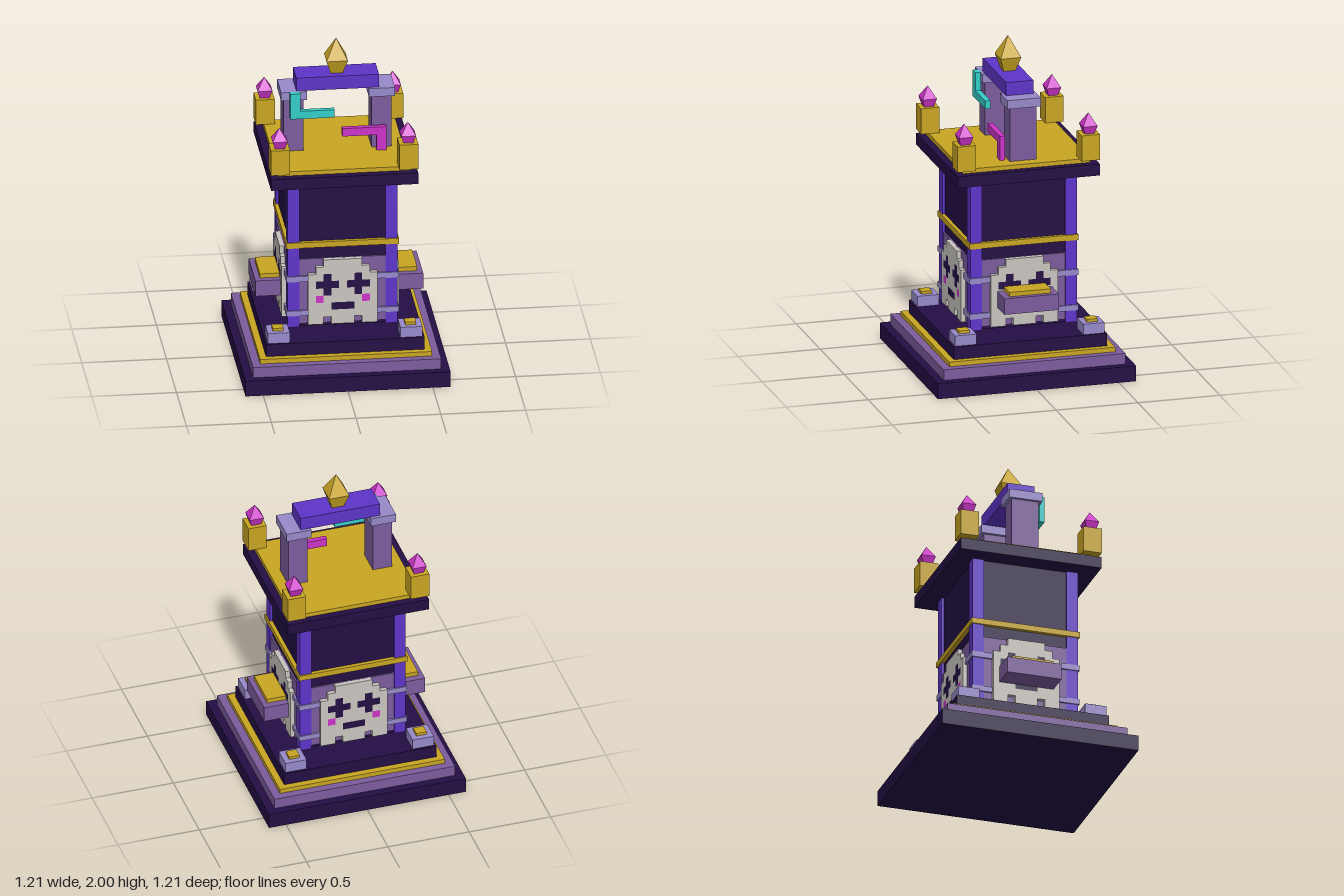
import * as THREE from 'three';

const mat = (name, color) => {
  const m = new THREE.MeshStandardMaterial({ color });
  m.name = name;
  return m;
};

export function createModel() {
  const M = {
    dark: mat('dark indigo', 0x230e44),
    purple: mat('dusty purple', 0x7b5c9c),
    lavender: mat('lavender', 0x978aca),
    violet: mat('violet', 0x5e34c9),
    gold: mat('gold', 0xc9a522),
    bone: mat('bone', 0xc9c5bf),
    pink: mat('magenta', 0xcc33c8),
    cyan: mat('cyan', 0x33cdc8),
  };
  const model = new THREE.Group();
  model.name = 'shrineTower';

  // Box given by its limits on each axis
  const box = (name, m, x0, x1, y0, y1, z0, z1, parent = model) => {
    const mesh = new THREE.Mesh(new THREE.BoxGeometry(x1 - x0, y1 - y0, z1 - z0), m);
    mesh.position.set((x0 + x1) / 2, (y0 + y1) / 2, (z0 + z1) / 2);
    mesh.name = name;
    parent.add(mesh);
    return mesh;
  };
  // Square slab centred on the axis
  const slab = (name, m, h, y0, y1) => box(name, m, -h, h, y0, y1, -h, h);

  // Four-sided gem: a point above a tapered foot
  const gem = (name, m, x, z, yBottom, yMid, yTop, hFoot, hMid) => {
    const g = new THREE.Group();
    g.name = name;
    [[0, hMid, yMid, yTop], [hMid, hFoot, yBottom, yMid]].forEach(([a, b, y0, y1], i) => {
      const geo = new THREE.CylinderGeometry(a * Math.SQRT2, b * Math.SQRT2, y1 - y0, 4, 1, i === 0)
        .rotateY(Math.PI / 4).toNonIndexed();
      geo.computeVertexNormals();
      const mesh = new THREE.Mesh(geo, m);
      mesh.name = i ? 'gemFoot' : 'gemPoint';
      mesh.position.set(x, (y0 + y1) / 2, z);
      g.add(mesh);
    });
    model.add(g);
  };

  // Stepped base
  slab('plinth', M.dark, 0.605, 0, 0.095);
  slab('lowerStep', M.purple, 0.555, 0.095, 0.16);
  slab('baseTrim', M.gold, 0.507, 0.16, 0.188);
  slab('upperStep', M.dark, 0.468, 0.188, 0.265);

  // Floating tower body with trims and roof slabs
  slab('towerCore', M.dark, 0.31, 0.305, 1.23);
  slab('lowerBand', M.lavender, 0.332, 0.378, 0.411);
  slab('upperBand', M.lavender, 0.332, 0.595, 0.63);
  slab('goldBand', M.gold, 0.333, 0.81, 0.845);
  slab('roofSlab', M.dark, 0.434, 1.23, 1.3);
  slab('roofDeck', M.gold, 0.388, 1.3, 1.326);

  // Corner pillars, pedestals, posts and gems
  for (const sx of [-1, 1]) for (const sz of [-1, 1]) {
    const corner = (name, m, c, h, y0, y1) =>
      box(name, m, sx * c - h, sx * c + h, y0, y1, sz * c - h, sz * c + h);
    corner('cornerPillar', M.violet, 0.29, 0.035, 0.305, 1.23);
    corner('pedestal', M.lavender, 0.391, 0.065, 0.265, 0.329);
    corner('pedestalCap', M.gold, 0.391, 0.032, 0.329, 0.346);
    corner('roofPost', M.gold, 0.379, 0.056, 1.326, 1.483);
    gem('roofGem', M.pink, sx * 0.379, sz * 0.379, 1.483, 1.532, 1.606, 0.029, 0.044);
  }

  // Pixel skull panel, repeated on all four sides
  const rows = [
    '..#####..',
    '.#######.',
    '##o###o##',
    '#ooo#ooo#',
    '##o###o##',
    '#p#####p#',
    '###ooo###',
    '#########',
    '##.###.##',
  ];
  const cellMat = { '#': M.bone, o: M.dark, p: M.pink };
  const cellName = { '#': 'skullBone', o: 'skullFeature', p: 'skullCheek' };
  const s = 0.0455;
  for (let side = 0; side < 4; side++) {
    const face = new THREE.Group();
    face.name = 'skullPanel';
    face.rotation.y = side * Math.PI / 2;
    box('panelBack', M.purple, -0.255, 0.255, 0.325, 0.735, 0.3, 0.32, face);
    rows.forEach((row, r) => {
      const top = 0.7345 - r * s;
      for (const run of row.matchAll(/#+|o+|p+/g)) {
        const x0 = (run.index - 4.5) * s;
        box(cellName[run[0][0]], cellMat[run[0][0]], x0, x0 + run[0].length * s, top - s, top, 0.315, 0.346, face);
      }
    });
    model.add(face);
  }

  // Side ledges and roof gate columns
  for (const sx of [-1, 1]) {
    const pair = (name, m, a, b, ...rest) =>
      box(name, m, Math.min(sx * a, sx * b), Math.max(sx * a, sx * b), ...rest);
    pair('sideLedge', M.purple, 0.34, 0.495, 0.445, 0.543, -0.167, 0.167);
    pair('ledgePlate', M.gold, 0.347, 0.464, 0.543, 0.569, -0.126, 0.126);
    pair('gateColumn', M.purple, 0.2, 0.318, 1.326, 1.655, -0.082, 0.082);
    pair('gateCapital', M.lavender, 0.182, 0.336, 1.655, 1.708, -0.102, 0.102);
  }

  // Lintel and crowning gem
  box('gateLintel', M.violet, -0.244, 0.244, 1.706, 1.789, -0.083, 0.083);
  gem('crownGem', M.gold, 0, 0, 1.789, 1.875, 2, 0.036, 0.063);

  // Angular ribbons in front of the gate
  box('cyanRibbonUpright', M.cyan, -0.285, -0.225, 1.548, 1.708, 0.1, 0.132);
  box('cyanRibbonBar', M.cyan, -0.225, -0.024, 1.548, 1.597, 0.1, 0.132);
  box('pinkRibbonBar', M.pink, 0.022, 0.283, 1.424, 1.474, 0.1, 0.132);
  box('pinkRibbonUpright', M.pink, 0.223, 0.283, 1.326, 1.424, 0.1, 0.132);

  return model;
}
